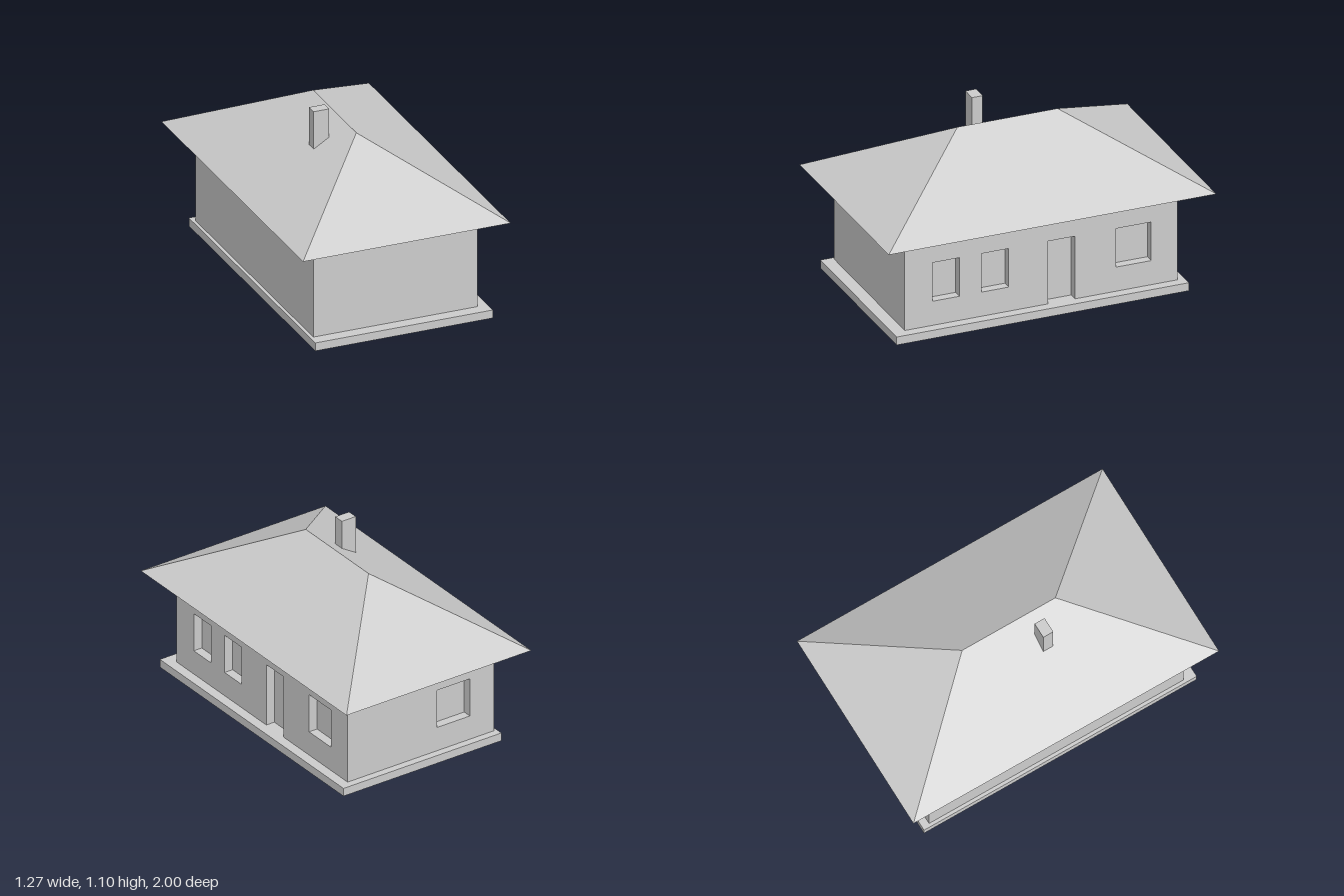
import * as THREE from 'three';
import { ConvexGeometry } from 'three/addons/geometries/ConvexGeometry.js';

const BASE = 0.05, EAVES = 0.61, RIDGE = 0.99; // heights
const X0 = -0.505, X1 = 0.5, Z0 = -0.82, Z1 = 0.845; // outer wall faces
const RECESS = 0.055; // depth of the window and door niches
const SILL = 0.2, LINTEL = 0.44;

export function createModel() {
  const house = new THREE.Group();
  house.name = 'house';
  const plaster = new THREE.MeshStandardMaterial({ color: 0xcccccc });
  plaster.name = 'light grey';

  const add = (name, geometry) => {
    const mesh = new THREE.Mesh(geometry, plaster);
    mesh.name = name;
    house.add(mesh);
    return mesh;
  };

  const box = (name, x0, x1, y0, y1, z0, z1) =>
    add(name, new THREE.BoxGeometry(x1 - x0, y1 - y0, z1 - z0))
      .position.set((x0 + x1) / 2, (y0 + y1) / 2, (z0 + z1) / 2);

  // Wall panel from u0 to u1, with window holes and an optional door notch
  const wallPanel = (name, u0, u1, windows, door) => {
    const shape = new THREE.Shape().moveTo(u0, BASE);
    if (door) {
      shape.lineTo(door[0], BASE).lineTo(door[0], LINTEL);
      shape.lineTo(door[1], LINTEL).lineTo(door[1], BASE);
    }
    shape.lineTo(u1, BASE).lineTo(u1, EAVES).lineTo(u0, EAVES).closePath();
    for (const [a, b] of windows) {
      shape.holes.push(new THREE.Path().moveTo(a, SILL).lineTo(a, LINTEL)
        .lineTo(b, LINTEL).lineTo(b, SILL).closePath());
    }
    return add(name, new THREE.ExtrudeGeometry(shape, { depth: RECESS, bevelEnabled: false }));
  };

  // Plinth and the solid body behind the niches
  box('plinth', -0.525, 0.56, 0, BASE, -0.865, 0.92);
  box('wallCore', X0, X1 - RECESS, BASE, EAVES, Z0 + RECESS, Z1);

  // Left side wall (+x): three windows and a door
  const sideWall = wallPanel('entranceWall', -Z1, -Z0,
    [[-0.675, -0.51], [-0.375, -0.21], [0.445, 0.66]], [0.03, 0.195]);
  sideWall.rotation.y = Math.PI / 2;
  sideWall.position.x = X1 - RECESS;

  // Back wall: one window
  const backWall = wallPanel('backWall', -(X1 - RECESS), -X0, [[0.115, 0.34]]);
  backWall.rotation.y = Math.PI;
  backWall.position.z = Z0 + RECESS;

  // Hipped roof with a flat underside
  const roofPoints = [];
  for (const s of [-1, 1]) {
    roofPoints.push(
      new THREE.Vector3(-0.635, EAVES, s),
      new THREE.Vector3(0.635, EAVES, s),
      new THREE.Vector3(-0.008, RIDGE, s * 0.305));
  }
  add('roof', new ConvexGeometry(roofPoints));

  box('chimney', -0.21, -0.115, 0.8, 1.1, 0.105, 0.17);

  return house;
}
